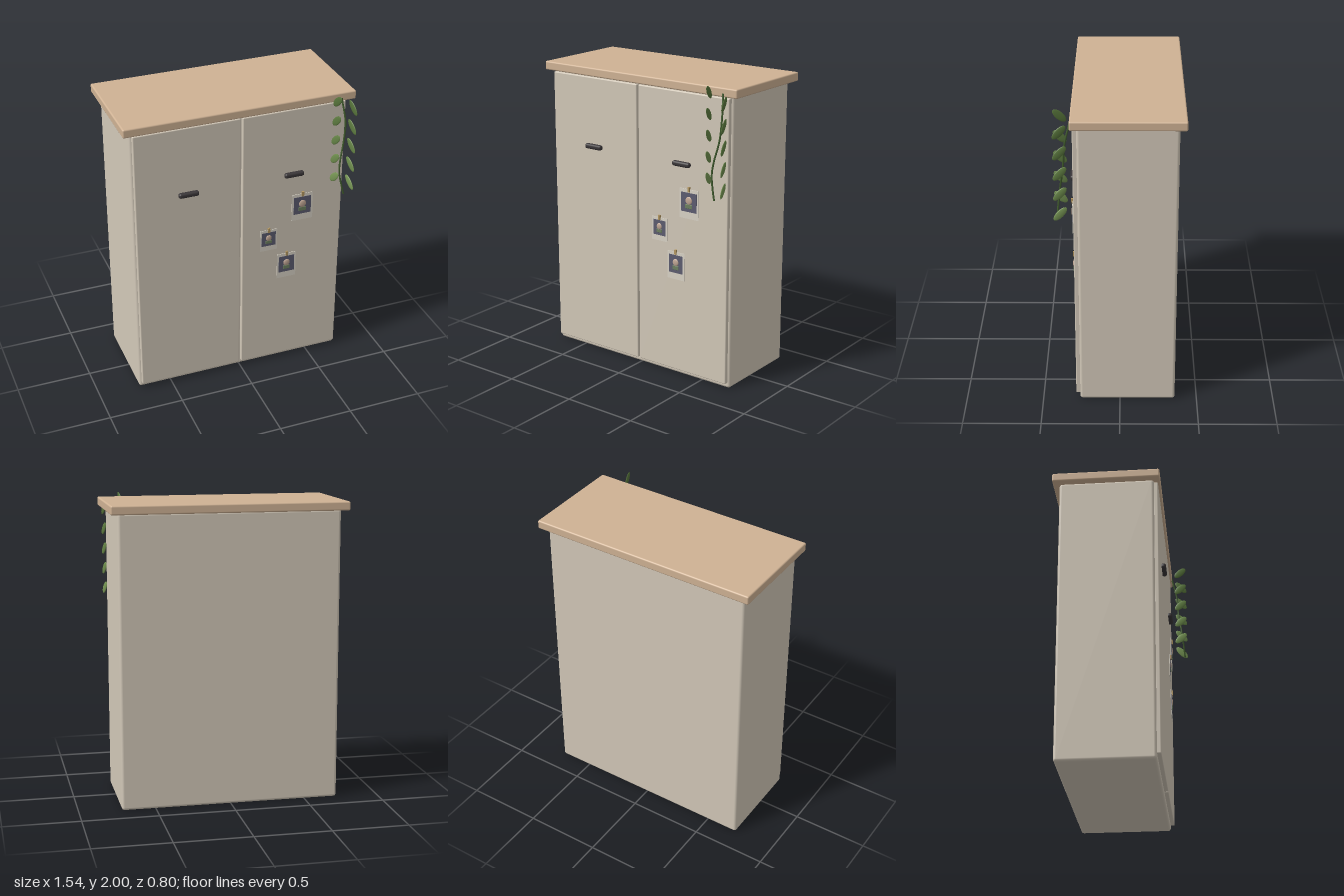
import * as THREE from 'three';
import { RoundedBoxGeometry } from 'three/addons/geometries/RoundedBoxGeometry.js';

const mat = (color) => new THREE.MeshStandardMaterial({ color });

export function createModel() {
  const model = new THREE.Group();
  const paint = mat(0xd2c8b8), wood = mat(0xcfb294), dark = mat(0x3a3638);
  const paper = mat(0xd9d3c6), backdrop = mat(0x5c5c70), skin = mat(0xc0a694);
  const shirt = mat(0x6d8060), peg = mat(0xb39660), stemGreen = mat(0x3f5a2c);
  const leafGreens = [0x56733a, 0x5d7b40, 0x658446, 0x6e8d4d, 0x789755].map(mat);

  function add(parent, name, geometry, material, x, y, z) {
    const mesh = new THREE.Mesh(geometry, material);
    mesh.name = name;
    mesh.position.set(x, y, z);
    parent.add(mesh);
    return mesh;
  }
  const rounded = (w, h, d, r) => new RoundedBoxGeometry(w, h, d, 3, r);

  // Cabinet
  add(model, 'body', rounded(1.444, 1.925, 0.617, 0.018), paint, 0, 0.9675, -0.0485);
  add(model, 'worktop', rounded(1.54, 0.058, 0.7, 0.01), wood, 0, 1.952, -0.05);
  for (const [side, s] of [['right', -1], ['left', 1]]) {
    add(model, side + 'Door', rounded(0.7, 1.875, 0.032, 0.007), paint, s * 0.357, 0.978, 0.27);
    add(model, side + 'Handle', rounded(0.134, 0.034, 0.034, 0.014), dark, s * 0.359, 1.456, 0.297);
  }

  // Pegged portrait cards on the left door: x, top edge, width, height
  const cards = [[0.422, 1.302, 0.148, 0.194], [0.188, 1.074, 0.12, 0.156], [0.32, 0.866, 0.135, 0.186]];
  for (const [x, top, w, h] of cards) {
    const card = new THREE.Group();
    card.name = 'portraitCard';
    card.position.set(x, top, 0.299);
    add(card, 'cardPaper', new THREE.BoxGeometry(w, h, 0.004), paper, 0, -h / 2, 0);
    add(card, 'cardPicture', new THREE.BoxGeometry(w * 0.82, h * 0.65, 0.003), backdrop, 0, -h * 0.44, 0.002);
    add(card, 'portraitHead', new THREE.SphereGeometry(1, 16, 12), skin, 0, -h * 0.38, 0.004)
      .scale.set(w * 0.17, w * 0.18, 0.007);
    add(card, 'portraitShoulders', rounded(w * 0.36, h * 0.15, 0.006, 0.003), shirt, 0, -h * 0.575, 0.004);
    add(card, 'peg', new THREE.BoxGeometry(0.015, 0.032, 0.012), peg, 0, 0, 0.004);
    model.add(card);
  }

  // Hanging vine
  const vine = new THREE.Group();
  vine.name = 'vine';
  model.add(vine);
  const path = new THREE.CatmullRomCurve3([
    [0.67, 1.945, 0.298], [0.687, 1.79, 0.333], [0.677, 1.66, 0.342], [0.65, 1.53, 0.36],
    [0.643, 1.45, 0.37], [0.658, 1.36, 0.38], [0.673, 1.295, 0.385],
  ].map((p) => new THREE.Vector3(...p)));
  add(vine, 'vineStem', new THREE.TubeGeometry(path, 48, 0.006, 8), stemGreen, 0, 0, 0);

  // Two rows of leaves, tilted opposite ways
  const leafGeometry = new THREE.SphereGeometry(1, 14, 10);
  for (let i = 0; i < 5; i++) {
    for (const [x, y, tilt] of [[0.611, 1.958, 1], [0.722, 1.895, -1]]) {
      const leaf = add(vine, 'leaf', leafGeometry, leafGreens[i], x, y - i * 0.134, 0.362);
      leaf.scale.set(0.006, 0.055, 0.025);
      leaf.rotation.set(tilt * Math.PI / 4, 0.22, 0, 'YXZ');
    }
  }
  return model;
}
